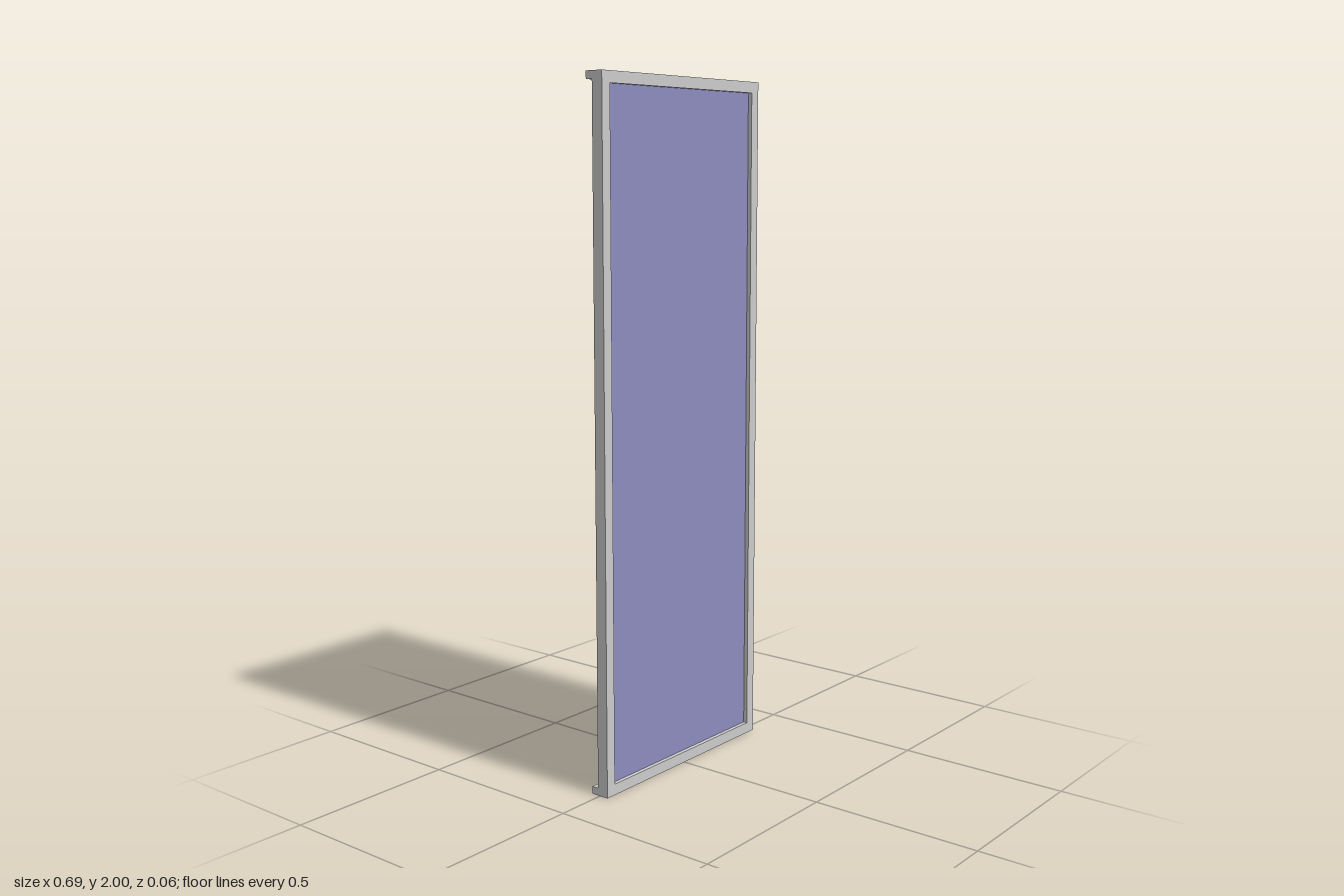
import * as THREE from 'three';

const W = 0.695, H = 2, BORDER = 0.032;
const FRONT = 0.028, BACK = -0.007, LIP_BACK = -0.028;

export function createModel() {
  const group = new THREE.Group();
  const grey = new THREE.MeshStandardMaterial({ color: 0xcccccc });
  const blue = new THREE.MeshStandardMaterial({ color: 0x8c8cbf });

  const add = (name, geometry, material, x, y, z) => {
    const mesh = new THREE.Mesh(geometry, material);
    mesh.name = name;
    mesh.position.set(x, y, z);
    group.add(mesh);
  };

  // Rectangular frame with a through opening
  const outline = (w, h, Type) => new Type([
    new THREE.Vector2(-w / 2, -h / 2), new THREE.Vector2(w / 2, -h / 2),
    new THREE.Vector2(w / 2, h / 2), new THREE.Vector2(-w / 2, h / 2),
  ]);
  const shape = outline(W, H, THREE.Shape);
  shape.holes.push(outline(W - 2 * BORDER, H - 2 * BORDER, THREE.Path));
  add('frame', new THREE.ExtrudeGeometry(shape, { depth: FRONT - BACK, bevelEnabled: false }),
    grey, 0, H / 2, BACK);

  // Lips along the top and bottom rails, projecting behind the frame
  const lipHeight = 0.022, lipDepth = BACK - LIP_BACK;
  for (const [name, y] of [['bottomLip', lipHeight / 2], ['topLip', H - lipHeight / 2]]) {
    add(name, new THREE.BoxGeometry(W, lipHeight, lipDepth), grey, 0, y, (BACK + LIP_BACK) / 2);
  }

  // Panel recessed on both sides
  add('panel', new THREE.BoxGeometry(W - 2 * BORDER, H - 2 * BORDER, 0.007), blue, 0, H / 2, 0.012);

  return group;
}
